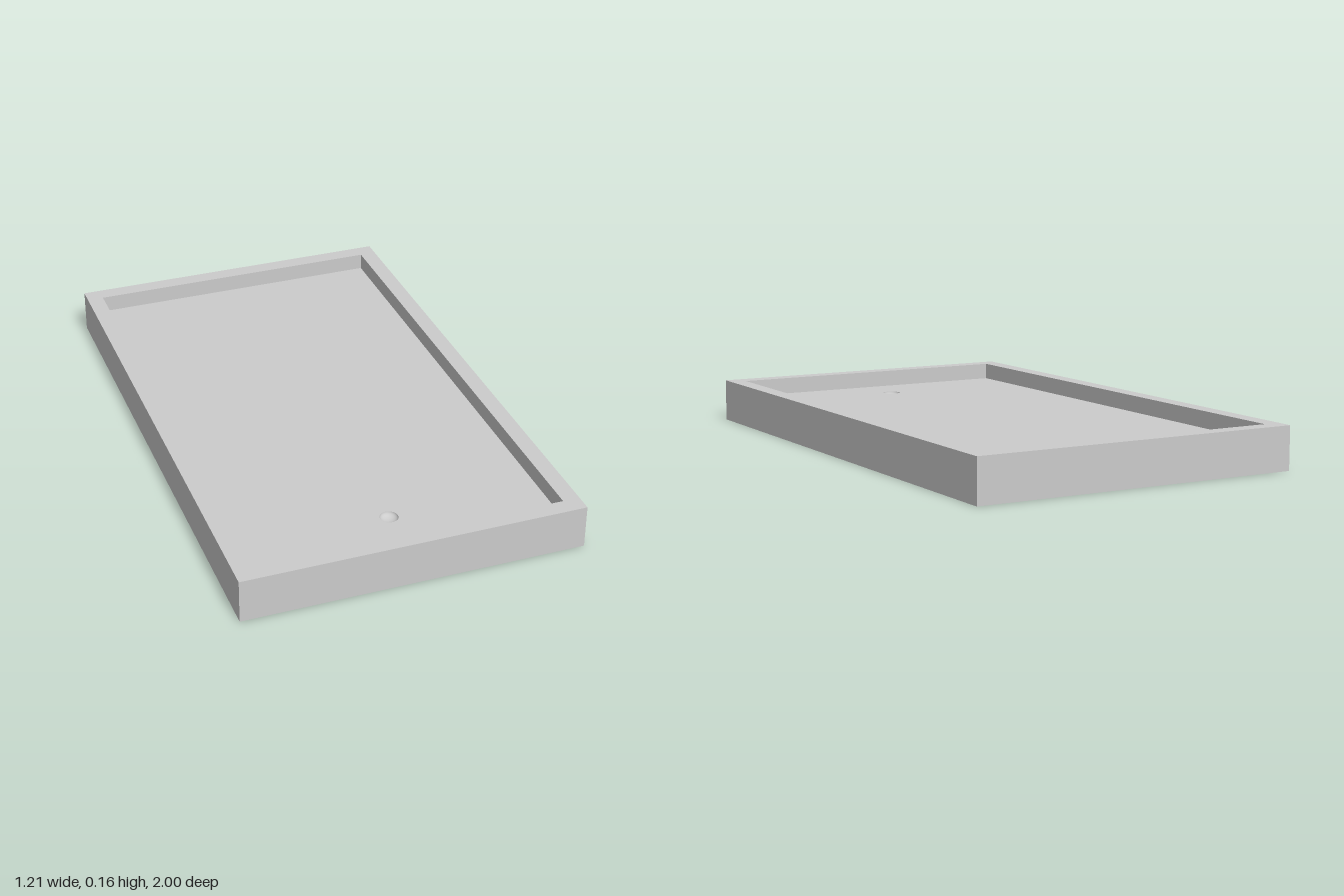
import * as THREE from 'three';

const HX = 0.605, HZ = 1, H = 0.156;      // outer half sizes and height
const IX = 0.545, IZ = 0.94, FLOOR = 0.095; // basin half sizes and floor level
const DRAIN_Z = 0.75, DRAIN_R = 0.032, DRAIN_DEPTH = 0.018;

const rect = (T, x, y) => new T([
  new THREE.Vector2(-x, -y), new THREE.Vector2(x, -y),
  new THREE.Vector2(x, y), new THREE.Vector2(-x, y),
]);

export function createModel() {
  const group = new THREE.Group();
  const material = new THREE.MeshStandardMaterial({ color: 0xcccccc });
  const add = (name, geometry, y = 0, z = 0) => {
    const mesh = new THREE.Mesh(geometry, material);
    mesh.name = name;
    mesh.position.set(0, y, z);
    group.add(mesh);
  };

  // Raised rim around the basin
  const rim = rect(THREE.Shape, HX, HZ);
  rim.holes.push(rect(THREE.Path, IX, IZ));
  add('rim', new THREE.ExtrudeGeometry(rim, { depth: H, bevelEnabled: false }).rotateX(-Math.PI / 2));

  // Basin floor with a round opening for the drain
  const floor = rect(THREE.Shape, IX, IZ);
  floor.holes.push(new THREE.Path().absarc(0, -DRAIN_Z, DRAIN_R, 0, Math.PI * 2, true));
  add('basinFloor', new THREE.ShapeGeometry(floor, 16).rotateX(-Math.PI / 2), FLOOR);

  // Rounded drain hollow, profile running from its edge to its centre
  const profile = [];
  for (let i = 0; i <= 8; i++) {
    const a = (i / 8) * Math.PI / 2;
    profile.push(new THREE.Vector2(DRAIN_R * Math.cos(a), -DRAIN_DEPTH * Math.sin(a)));
  }
  add('drain', new THREE.LatheGeometry(profile, 32), FLOOR, DRAIN_Z);

  // Flat underside closing the rim
  add('underside', new THREE.PlaneGeometry(IX * 2, IZ * 2).rotateX(Math.PI / 2));

  return group;
}
